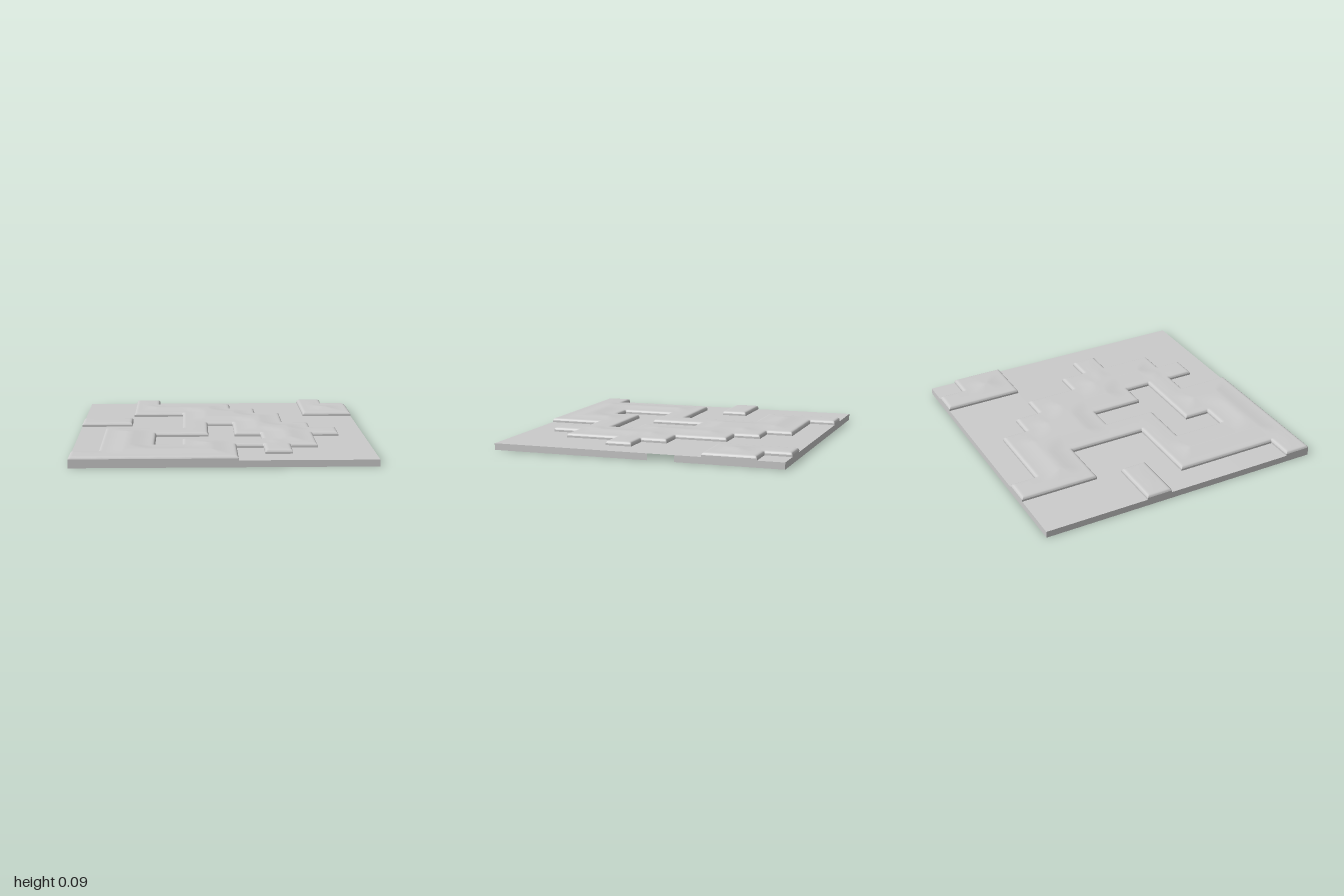
import * as THREE from 'three';

// Cell map of the tile, back row first: # is raised, . is flat ground
const MAP = [
  '..#......#.',
  '..####...##',
  '..#####..##',
  '....####...',
  '##..####...',
  '....#.###..',
  '.####.####.',
  '.##....##..',
  '.##.#####..',
  '.#####.#...',
  '######.....',
];
const N = MAP.length;
const CELL = 2 / N;
const GROUND = 0.045, LIP = 0.058, SHOULDER = 0.075, CROWN = 0.085;
const BEVEL = 0.022;
const STEPS = [0, 0.02, 0.05, 0.09, 0.15, 0.3, 0.5, 0.7, 0.85, 0.91, 0.95, 0.98, 1];
const SIDES = [[1, 0], [-1, 0], [0, 1], [0, -1]];

const inside = (c, r) => c >= 0 && r >= 0 && c < N && r < N;
const raised = (c, r) => inside(c, r) && MAP[r][c] === '#';
const at = (i) => -1 + i * CELL;

// Distance from a point to the nearest cell that is not raised
function edgeDistance(x, z, c, r) {
  let best = 1;
  for (let j = r - 2; j <= r + 2; j++) {
    for (let i = c - 2; i <= c + 2; i++) {
      if (raised(i, j)) continue;
      const dx = Math.max(at(i) - x, 0, x - at(i + 1));
      const dz = Math.max(at(j) - z, 0, z - at(j + 1));
      best = Math.min(best, Math.hypot(dx, dz));
    }
  }
  return best;
}

// Rounded lip, level shoulder, then a gentle swell in the wide areas
function plateauHeight(d) {
  const k = 1 - Math.min(d / BEVEL, 1);
  const round = (SHOULDER - LIP) * Math.sqrt(1 - k * k);
  return LIP + round + (CROWN - SHOULDER) * THREE.MathUtils.smoothstep(d, 0.06, 0.18);
}

// Collects quads, sharing vertices that coincide
function surface(name, build) {
  const points = [], index = [], seen = new Map();
  const vertex = (p, tag) => {
    const key = tag + p.map((v) => Math.round(v * 1e5)).join();
    if (!seen.has(key)) {
      seen.set(key, points.length / 3);
      points.push(...p);
    }
    return seen.get(key);
  };
  build((corners, tag = '') => {
    const [a, b, c, d] = corners.map((p) => vertex(p, tag));
    index.push(a, b, c, a, c, d);
  });
  const geometry = new THREE.BufferGeometry();
  geometry.setAttribute('position', new THREE.Float32BufferAttribute(points, 3));
  geometry.setIndex(index);
  geometry.computeVertexNormals();
  const mesh = new THREE.Mesh(geometry,
    new THREE.MeshStandardMaterial({ color: 0xcccccc, side: THREE.DoubleSide }));
  mesh.name = name;
  return mesh;
}

// Upright quad on one side of a cell
function wall(quad, c, r, [dx, dz], y0, y1) {
  const h = CELL / 2;
  const x = at(c) + h + dx * h, z = at(r) + h + dz * h;
  const tx = dz * h, tz = -dx * h;
  quad([[x - tx, y0, z - tz], [x + tx, y0, z + tz], [x + tx, y1, z + tz], [x - tx, y1, z - tz]],
    `${dx}${dz}`);
}

function eachCell(visit) {
  for (let r = 0; r < N; r++) for (let c = 0; c < N; c++) visit(c, r);
}

export function createModel() {
  const group = new THREE.Group();
  group.name = 'terrainTile';

  // Flat ground between the plateaus
  group.add(surface('ground', (quad) => eachCell((c, r) => {
    if (raised(c, r)) return;
    const [x0, x1, z0, z1] = [at(c), at(c + 1), at(r), at(r + 1)];
    quad([[x0, GROUND, z0], [x0, GROUND, z1], [x1, GROUND, z1], [x1, GROUND, z0]]);
  })));

  // Outer skirt, open below, with one cell left open on the +x side
  group.add(surface('skirt', (quad) => eachCell((c, r) => {
    for (const s of SIDES) {
      const gap = c === N - 1 && r === 4 && s[0] === 1;
      if (!inside(c + s[0], r + s[1]) && !gap) wall(quad, c, r, s, 0, GROUND);
    }
  })));

  // Rounded tops of the plateaus
  group.add(surface('plateauTops', (quad) => eachCell((c, r) => {
    if (!raised(c, r)) return;
    const point = (i, j) => {
      const x = at(c + STEPS[i]), z = at(r + STEPS[j]);
      return [x, plateauHeight(edgeDistance(x, z, c, r)), z];
    };
    for (let i = 0; i < STEPS.length - 1; i++) {
      for (let j = 0; j < STEPS.length - 1; j++) {
        quad([point(i, j), point(i, j + 1), point(i + 1, j + 1), point(i + 1, j)]);
      }
    }
  })));

  // Short upright edges below the rounded lip
  group.add(surface('plateauEdges', (quad) => eachCell((c, r) => {
    if (!raised(c, r)) return;
    for (const s of SIDES) {
      if (!raised(c + s[0], r + s[1])) wall(quad, c, r, s, GROUND, LIP);
    }
  })));

  return group;
}
